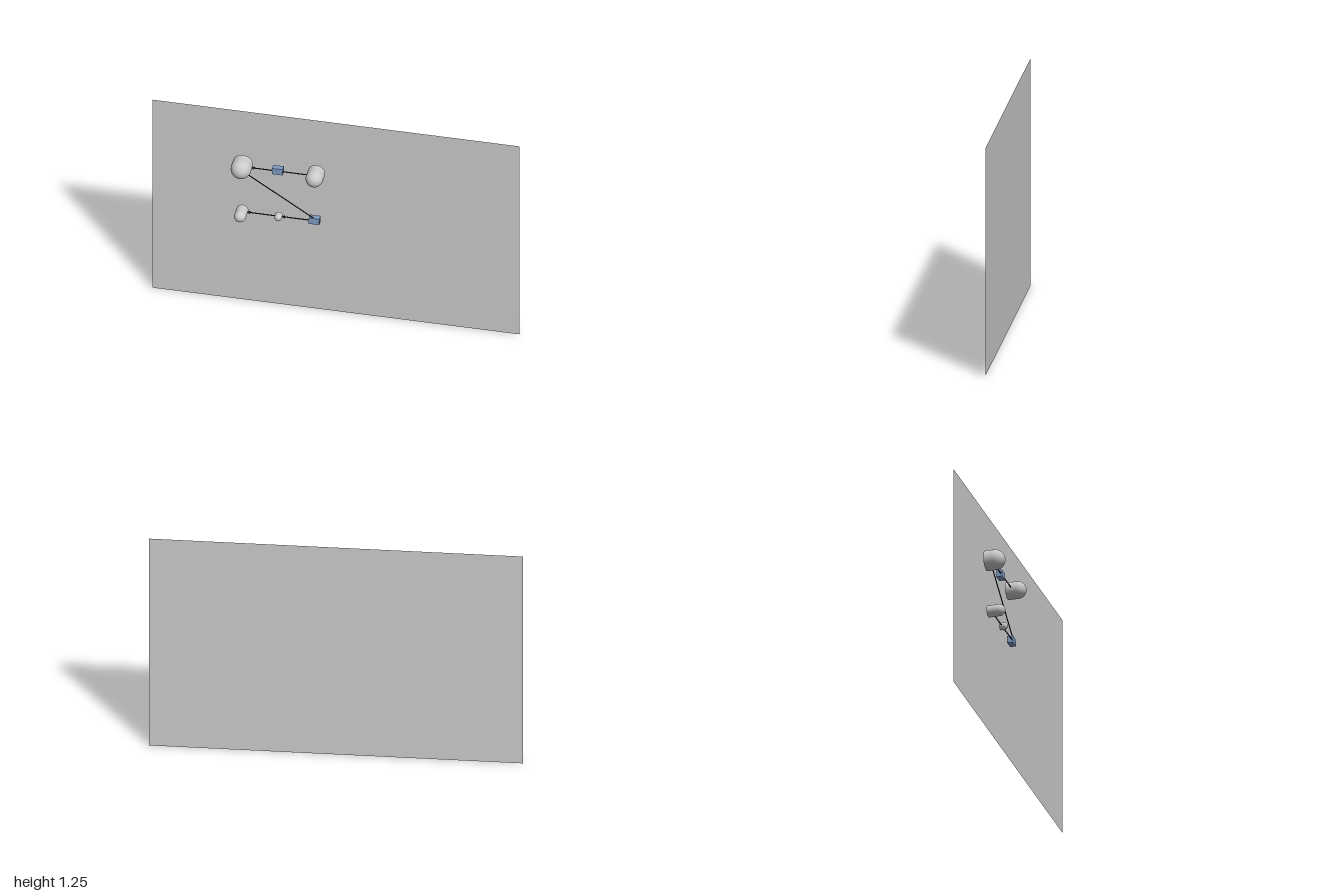
import * as THREE from 'three';

export function createModel() {
  const root = new THREE.Group();
  const grey = new THREE.MeshStandardMaterial({ color: 0xcccccc });
  const board = new THREE.MeshStandardMaterial({ color: 0xcccccc, side: THREE.DoubleSide });
  const dark = new THREE.MeshStandardMaterial({ color: 0x222222 });
  const blue = new THREE.MeshStandardMaterial({ color: 0x7f9cc4 });
  const rodZ = -0.008;

  function add(name, geometry, material, x, y, z) {
    const mesh = new THREE.Mesh(geometry, material);
    mesh.name = name;
    mesh.position.set(x, y, z);
    root.add(mesh);
    return mesh;
  }

  // Thin backing sheet
  add('backBoard', new THREE.PlaneGeometry(2, 1.25), board, 0, 0.625, -0.068);

  // Round-nosed peg with a flat back, its axis along z
  function peg(name, x, y, r, back, front) {
    const geometries = [
      new THREE.SphereGeometry(r, 32, 12, 0, Math.PI * 2, 0, Math.PI / 2),
      new THREE.CylinderGeometry(r, r, front - r - back, 32, 1, true),
      new THREE.CircleGeometry(r, 32),
    ];
    geometries[0].rotateX(Math.PI / 2).translate(0, 0, front - r);
    geometries[1].rotateX(Math.PI / 2).translate(0, 0, (front - r + back) / 2);
    geometries[2].rotateY(Math.PI).translate(0, 0, back);
    geometries.forEach((g, i) => add(name + ['Dome', 'Side', 'Back'][i], g, grey, x, y, 0));
  }
  peg('largePeg', -0.5, 0.927, 0.055, -0.037, 0.068);
  peg('mediumPeg', -0.1, 0.927, 0.047, -0.04, 0.064);
  peg('smallPeg', -0.5, 0.628, 0.032, -0.026, 0.068);
  peg('tinyPeg', -0.3, 0.628, 0.02, -0.02, 0.022);

  // Blue blocks
  for (const [x, y] of [[-0.305, 0.927], [-0.105, 0.628]]) {
    add('block', new THREE.BoxGeometry(0.058, 0.038, 0.032), blue, x, y, -0.016);
  }

  // Connecting rods
  function rod(x1, y1, x2, y2) {
    const length = Math.hypot(x2 - x1, y2 - y1);
    const mesh = add('rod', new THREE.CylinderGeometry(0.003, 0.003, length, 12), dark,
      (x1 + x2) / 2, (y1 + y2) / 2, rodZ);
    mesh.rotation.z = Math.atan2(y2 - y1, x2 - x1) - Math.PI / 2;
  }
  rod(-0.1, 0.927, -0.3, 0.927);
  rod(-0.3, 0.927, -0.5, 0.927);
  rod(-0.5, 0.9, -0.1, 0.638);
  rod(-0.1, 0.628, -0.3, 0.628);
  rod(-0.3, 0.628, -0.5, 0.628);

  // Small arrow tips at the end of each rod
  for (const [x, y] of [[-0.29, 0.927], [-0.443, 0.927], [-0.092, 0.628], [-0.276, 0.628], [-0.465, 0.628]]) {
    add('arrowTip', new THREE.ConeGeometry(0.009, 0.02, 16), dark, x, y, rodZ).rotation.z = Math.PI / 2;
  }
  return root;
}
